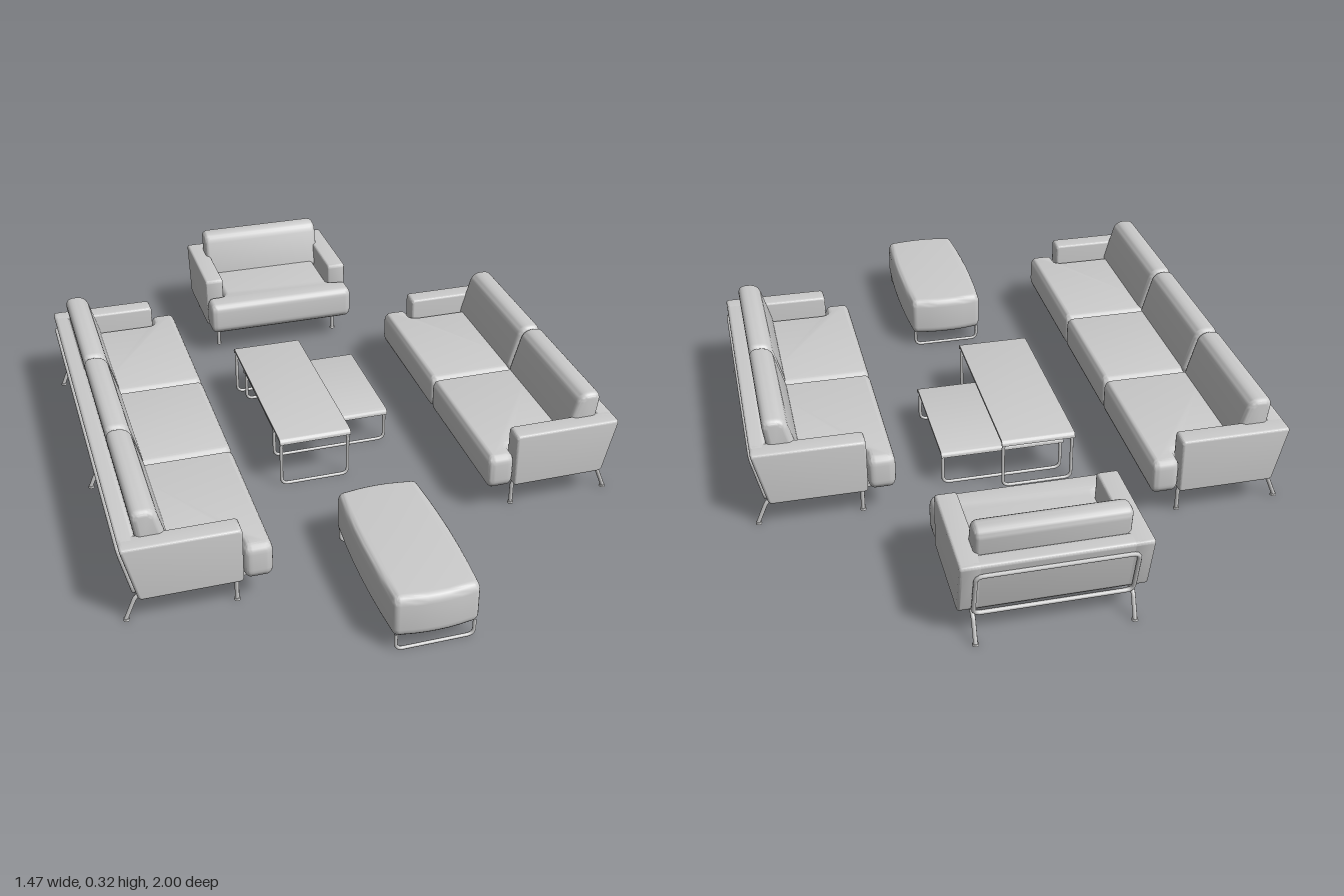
import * as THREE from 'three';
import { toCreasedNormals } from 'three/addons/utils/BufferGeometryUtils.js';

const fabric = new THREE.MeshStandardMaterial({ color: 0xcccccc });
const D = 0.395; // depth of every seat
const V = (x, y, z) => new THREE.Vector3(x, y, z);

function add(parent, name, geometry) {
  const mesh = new THREE.Mesh(geometry, fabric);
  mesh.name = name;
  parent.add(mesh);
  return mesh;
}

// Closed polygon with softened corners
function roundedShape(pts, r) {
  const p = pts.map(([x, y]) => new THREE.Vector2(x, y));
  const shape = new THREE.Shape();
  p.forEach((c, i) => {
    const prev = p[(i + p.length - 1) % p.length], next = p[(i + 1) % p.length];
    const a = c.clone().add(prev.clone().sub(c).setLength(r));
    const b = c.clone().add(next.clone().sub(c).setLength(r));
    if (i === 0) shape.moveTo(a.x, a.y); else shape.lineTo(a.x, a.y);
    shape.quadraticCurveTo(c.x, c.y, b.x, b.y);
  });
  shape.closePath();
  return shape;
}

// Extrusion from 0 to depth whose bevel stays inside the outline
function solid(shape, depth, size, thick) {
  const g = new THREE.ExtrudeGeometry(shape, {
    depth: depth - 2 * thick, bevelEnabled: true, bevelSize: size, bevelOffset: -size,
    bevelThickness: thick, bevelSegments: 5, curveSegments: 6,
  });
  return g.translate(0, 0, thick);
}

// Side profile (depth from the back, height) swept across x, centred on x
function acrossX(pts, r, width, size, thick) {
  const shape = roundedShape(pts.map(([d, y]) => [d - D / 2, y]), r);
  const g = solid(shape, width, size, thick).translate(0, 0, -width / 2).rotateY(-Math.PI / 2);
  return toCreasedNormals(g, 0.6);
}

// Plan outline raised from y0 to y1
function raised(shape, y0, y1, size, thick) {
  const g = solid(shape, y1 - y0, size, thick).rotateX(-Math.PI / 2).translate(0, y0, 0);
  return toCreasedNormals(g, 0.6);
}

// Bent metal tube with rounded corners
function tube(pts, { closed = false, bend = 0.02, radius = 0.006 } = {}) {
  const path = new THREE.CurvePath();
  const n = pts.length;
  const toward = (a, b) => a.clone().add(b.clone().sub(a).setLength(bend));
  let start = closed ? toward(pts[0], pts[1]) : pts[0];
  for (let i = 1; i <= (closed ? n : n - 1); i++) {
    const c = pts[i % n];
    if (!closed && i === n - 1) {
      path.add(new THREE.LineCurve3(start, c));
      break;
    }
    const a = toward(c, pts[i - 1]), b = toward(c, pts[(i + 1) % n]);
    path.add(new THREE.LineCurve3(start, a));
    path.add(new THREE.QuadraticBezierCurve3(a, c, b));
    start = b;
  }
  return new THREE.TubeGeometry(path, 120, radius, 8, closed);
}

// Seat with arms, split into a number of cushions, facing +z
function makeSeat(name, W, count, middleLeg) {
  const seat = new THREE.Group();
  seat.name = name;
  const inner = W / 2 - 0.06;
  const at = (x, y, d) => V(x, y, d - D / 2);

  // Upholstered shell
  for (const s of [-1, 1]) {
    const arm = acrossX([[0.04, 0.085], [0.315, 0.085], [0.315, 0.25], [0, 0.25]], 0.012, 0.06, 0.008, 0.008);
    add(seat, 'arm', arm).position.x = s * (W / 2 - 0.03);
  }
  add(seat, 'backPanel', acrossX([[0.04, 0.085], [0.085, 0.085], [0.05, 0.25], [0, 0.25]], 0.012, W - 0.06, 0.008, 0.008));
  const base = add(seat, 'base', new THREE.BoxGeometry(W - 0.06, 0.012, 0.325));
  base.position.set(0, 0.088, 0.21 - D / 2);

  // Seat cushions, the end ones wrapping in front of the arms, and back cushions
  const step = 2 * inner / count, backStep = (W - 0.09) / count;
  for (let i = 0; i < count; i++) {
    const a = -inner + i * step + 0.001, b = a + step - 0.002;
    const z = d => D / 2 - d;
    const plan = [];
    if (i === 0) plan.push([a, z(0.317)], [-W / 2, z(0.317)], [-W / 2, z(D)]);
    else plan.push([a, z(D)]);
    if (i === count - 1) plan.push([W / 2, z(D)], [W / 2, z(0.317)], [b, z(0.317)]);
    else plan.push([b, z(D)]);
    plan.push([b, z(0.06)], [a, z(0.06)]);
    add(seat, 'seatCushion', raised(roundedShape(plan, 0.022), 0.087, 0.192, 0.018, 0.028));

    const pillow = acrossX([[0.06, 0.17], [0.148, 0.17], [0.105, 0.323], [0.038, 0.323]],
      0.03, backStep - 0.002, 0.016, 0.018);
    add(seat, 'backCushion', pillow).position.x = (i - (count - 1) / 2) * backStep;
  }

  // Tubular frame under the seat and behind the back
  const fx = W / 2 - 0.04;
  const legs = middleLeg ? [-fx, 0, fx] : [-fx, fx];
  for (const x of legs) {
    add(seat, 'legFrame', tube([at(x, 0.004, 0.302), at(x, 0.076, 0.302), at(x, 0.076, 0.038), at(x, 0.004, 0.008)]));
    for (const d of [0.302, 0.009]) {
      add(seat, 'foot', new THREE.CylinderGeometry(0.008, 0.009, 0.006, 12)).position.copy(at(x, 0.003, d));
    }
  }
  add(seat, 'baseRail', tube([at(-fx, 0.077, 0.302), at(fx, 0.077, 0.302), at(fx, 0.077, 0.038), at(-fx, 0.077, 0.038)],
    { closed: true }));
  add(seat, 'backRail', tube([at(-fx, 0.078, 0.036), at(fx, 0.078, 0.036), at(fx, 0.217, 0.003), at(-fx, 0.217, 0.003)],
    { closed: true }));
  return seat;
}

// Low table: thin top with rolled ends on two looped legs
function makeTable(name, x0, x1, z0, z1, height) {
  const table = new THREE.Group();
  table.name = name;
  const w = x1 - x0, h = (z1 - z0) / 2, t = 0.008, r = 0.016;
  const s = new THREE.Shape();
  s.moveTo(-h, -r);
  s.lineTo(-h + t, -r);
  s.quadraticCurveTo(-h + t, -t, -h + r, -t);
  s.lineTo(h - r, -t);
  s.quadraticCurveTo(h - t, -t, h - t, -r);
  s.lineTo(h, -r);
  s.quadraticCurveTo(h, 0, h - r, 0);
  s.lineTo(-h + r, 0);
  s.quadraticCurveTo(-h, 0, -h, -r);
  const top = new THREE.ExtrudeGeometry(s, { depth: w, bevelEnabled: false, curveSegments: 6 });
  top.translate(0, 0, -w / 2).rotateY(-Math.PI / 2);
  add(table, 'tableTop', toCreasedNormals(top, 0.6)).position.y = height;
  const e = w / 2 - 0.006, y = height - 0.013;
  for (const z of [-h + 0.012, h - 0.012]) {
    add(table, 'tableLegLoop', tube([V(-e, 0.005, z), V(e, 0.005, z), V(e, y, z), V(-e, y, z)],
      { closed: true, radius: 0.005 }));
  }
  table.position.set((x0 + x1) / 2, 0, (z0 + z1) / 2);
  return table;
}

// Footstool with gently bowed sides on two looped legs
function makeFootstool() {
  const stool = new THREE.Group();
  stool.name = 'footstool';
  const x = 0.116, z = 0.243, r = 0.025, bow = 0.018;
  const s = new THREE.Shape();
  s.moveTo(-x + r, -z);
  s.quadraticCurveTo(0, -z - bow, x - r, -z);
  s.quadraticCurveTo(x, -z, x, -z + r);
  s.quadraticCurveTo(x + bow, 0, x, z - r);
  s.quadraticCurveTo(x, z, x - r, z);
  s.quadraticCurveTo(0, z + bow, -x + r, z);
  s.quadraticCurveTo(-x, z, -x, z - r);
  s.quadraticCurveTo(-x - bow, 0, -x, -z + r);
  s.quadraticCurveTo(-x, -z, -x + r, -z);
  add(stool, 'footstoolCushion', raised(s, 0.046, 0.17, 0.02, 0.025));
  for (const e of [-0.232, 0.232]) {
    add(stool, 'footstoolLeg', tube([V(-0.105, 0.055, e), V(-0.105, 0.005, e), V(0.105, 0.005, e), V(0.105, 0.055, e)],
      { radius: 0.005 }));
  }
  stool.position.set(0.005, 0, 0.746);
  return stool;
}

export function createModel() {
  const model = new THREE.Group();
  model.name = 'loungeSet';

  const longSofa = makeSeat('threeSeatSofa', 1.32, 3, true);
  longSofa.rotation.y = Math.PI / 2;
  longSofa.position.set(-0.537, 0, 0.05);

  const shortSofa = makeSeat('twoSeatSofa', 0.925, 2, false);
  shortSofa.rotation.y = -Math.PI / 2;
  shortSofa.position.set(0.533, 0, 0.048);

  const armchair = makeSeat('armchair', 0.493, 1, false);
  armchair.position.set(0.038, 0, -0.805);

  model.add(longSofa, shortSofa, armchair, makeFootstool(),
    makeTable('largeTable', -0.19, 0.025, -0.37, 0.21, 0.162),
    makeTable('smallTable', -0.172, 0.19, -0.315, 0.058, 0.112));
  return model;
}
